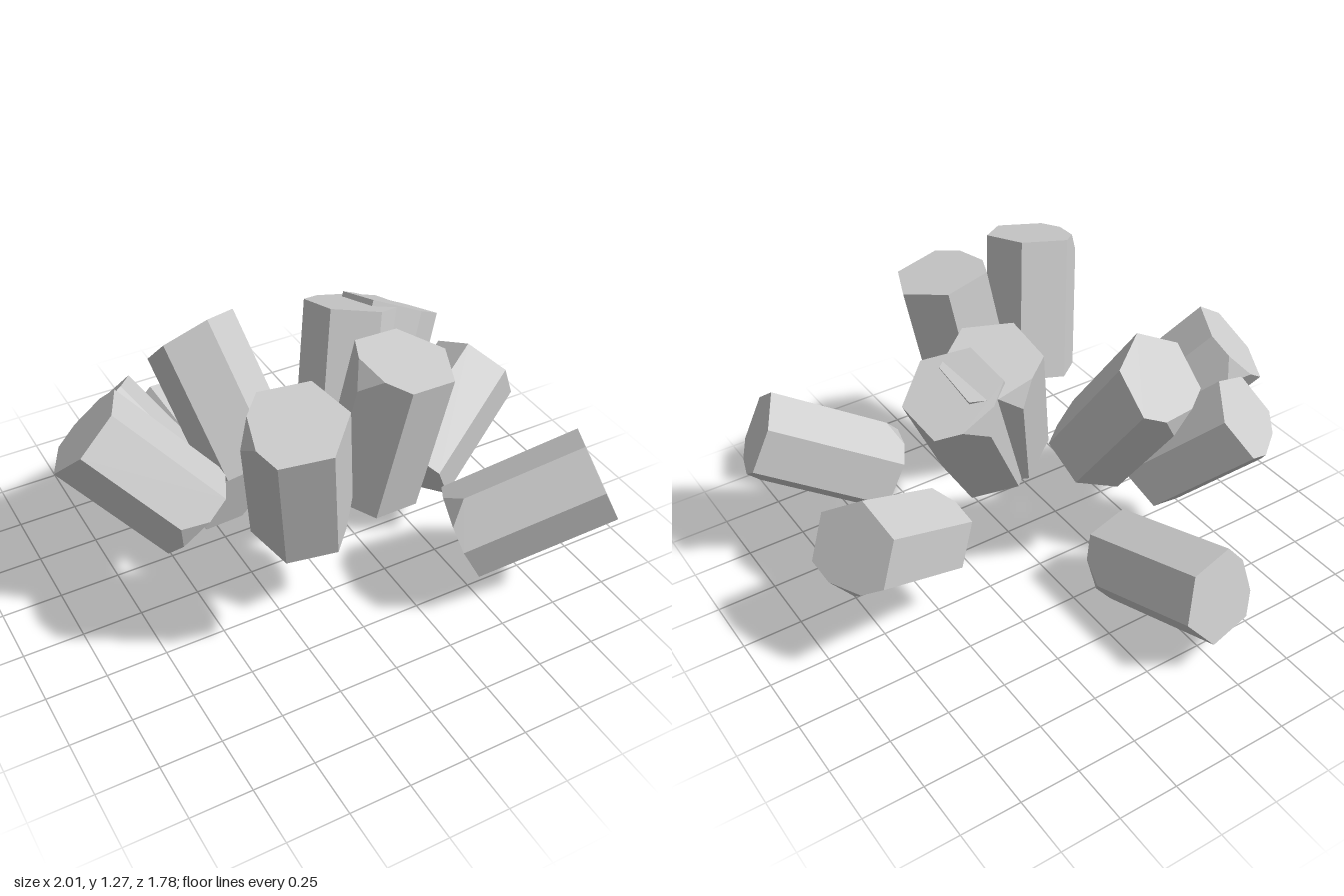
import * as THREE from 'three';
import { ConvexGeometry } from 'three/addons/geometries/ConvexGeometry.js';

const RADIUS = 0.192;

// Hexagonal prism along y; one corner of each end is cut to a small facet, the top may slope.
function crystalGeometry(length, slope) {
  const points = [];
  const corner = (i, y) => {
    const a = i * Math.PI / 3;
    const lift = y > 0 ? slope * Math.cos(a) : 0;
    return new THREE.Vector3(RADIUS * Math.cos(a), y + lift, RADIUS * Math.sin(a));
  };
  for (const [y, cut] of [[length / 2, 3], [-length / 2, 0]]) {
    for (let i = 0; i < 6; i++) {
      const p = corner(i, y);
      if (i !== cut) {
        points.push(p);
        continue;
      }
      points.push(p.clone().lerp(corner(i + 1, y), 0.45));
      points.push(p.clone().lerp(corner(i + 5, y), 0.45));
      points.push(corner(i, y * 0.72));
    }
  }
  return new ConvexGeometry(points);
}

// Centre, axis direction, and the side one ridge points to.
const crystals = [
  { name: 'lowBackCrystal', at: [-0.23, 0.245, -0.56], axis: [-0.08, 0.155, -0.56], ridge: [1, -0.17, 0] },
  { name: 'backRightCrystal', at: [-0.59, 0.57, -0.27], axis: [-0.26, 0.37, -0.33], ridge: [0, 1, 0], length: 0.51 },
  { name: 'rightCrystal', at: [-0.685, 0.69, -0.02], axis: [-0.38, 0.42, -0.23], ridge: [0, -0.3, 1], length: 0.55 },
  { name: 'backCrystal', at: [-0.27, 0.785, -0.19], axis: [-0.1, 0.46, -0.29], ridge: [0.2, 0, 1], length: 0.56, slope: 0.04 },
  { name: 'centreCrystal', at: [0.18, 0.88, 0.03], axis: [0.13, 0.53, -0.16], ridge: [0, 0, 1] },
  { name: 'centreLeftCrystal', at: [0.3, 0.84, 0.02], axis: [0.24, 0.48, -0.17], ridge: [0, 0, 1] },
  { name: 'leftCrystal', at: [0.68, 0.47, -0.015], axis: [0.46, 0.27, -0.2], ridge: [0, 1, 0.05], length: 0.54 },
  { name: 'frontRightCrystal', at: [-0.31, 0.93, 0.53], axis: [-0.09, 0.53, 0.12], ridge: [0.97, 0, 0.26] },
  { name: 'frontCrystal', at: [0.095, 0.95, 0.45], axis: [0.08, 0.53, 0.06], ridge: [0.99, 0, -0.12] },
  { name: 'frontLeftCrystal', at: [0.655, 0.48, 0.63], axis: [0.48, 0.25, 0.2], ridge: [0, 1, 0.2] },
];

export function createModel() {
  const group = new THREE.Group();
  group.name = 'crystalCluster';
  const material = new THREE.MeshStandardMaterial({ color: 0xcccccc, flatShading: true });
  for (const { name, at, axis, ridge, length = 0.58, slope = 0 } of crystals) {
    const mesh = new THREE.Mesh(crystalGeometry(length, slope), material);
    mesh.name = name;
    const y = new THREE.Vector3(...axis).normalize();
    const x = new THREE.Vector3(...ridge).projectOnPlane(y).normalize();
    const z = new THREE.Vector3().crossVectors(x, y);
    mesh.quaternion.setFromRotationMatrix(new THREE.Matrix4().makeBasis(x, y, z));
    mesh.position.set(...at);
    group.add(mesh);
  }
  return group;
}
